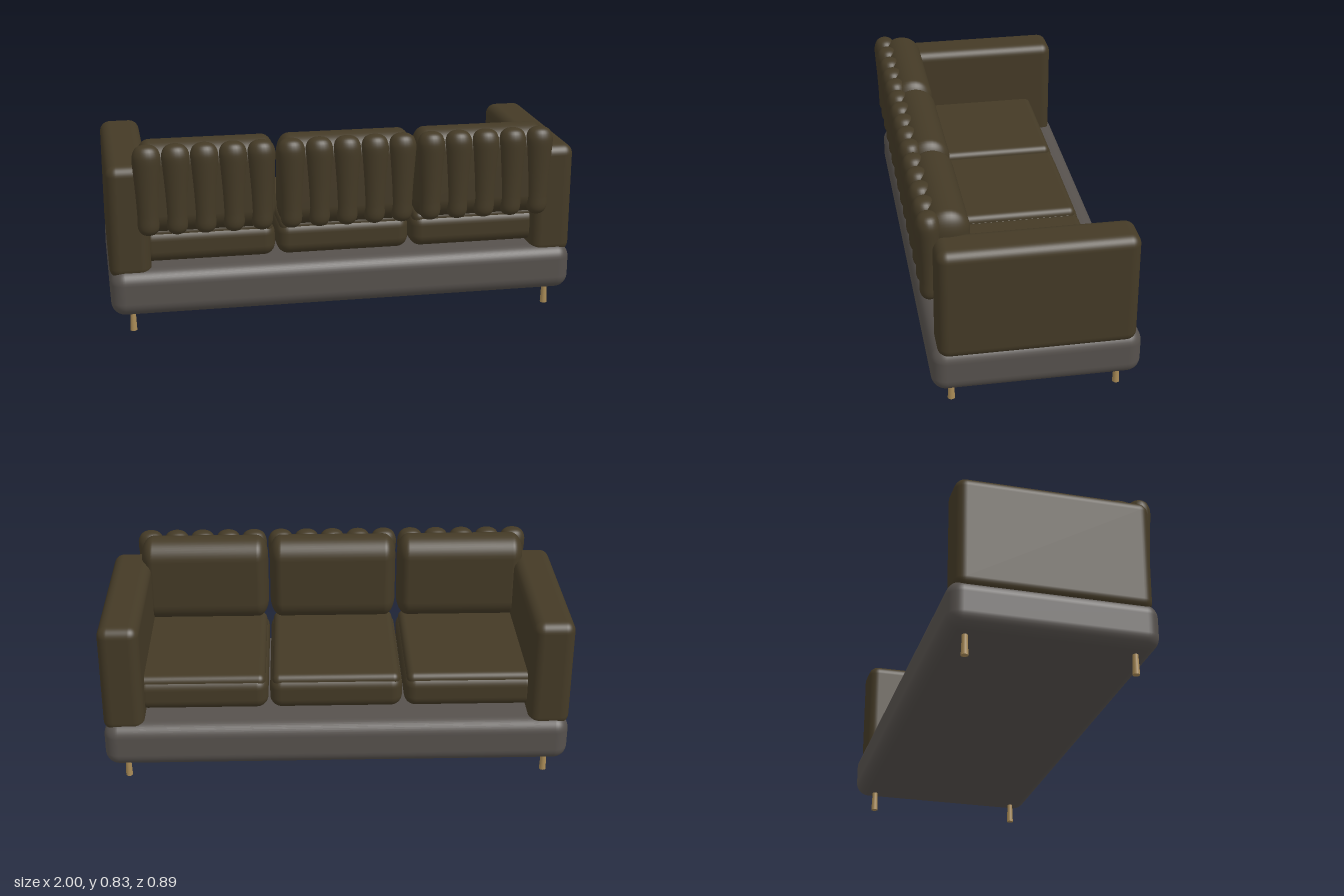
import * as THREE from 'three';
import { RoundedBoxGeometry } from 'three/addons/geometries/RoundedBoxGeometry.js';

const mat = (name, color) => {
  const m = new THREE.MeshStandardMaterial({ color });
  m.name = name;
  return m;
};

// Rounded box given by its limits; sx narrows the rounding along x
function softBox([x0, x1], [y0, y1], [z0, z1], radius, sx = 1) {
  const g = new RoundedBoxGeometry((x1 - x0) / sx, y1 - y0, z1 - z0, 5, radius);
  g.scale(sx, 1, 1);
  g.translate((x0 + x1) / 2, (y0 + y1) / 2, (z0 + z1) / 2);
  return g;
}

export function createModel() {
  const root = new THREE.Group();
  root.name = 'sofa';
  const upholstery = mat('olive brown upholstery', 0x443a26);
  const baseGrey = mat('grey base', 0x56514d);
  const wood = mat('light wood', 0xa88a56);

  const add = (name, geometry, material, parent = root) => {
    const mesh = new THREE.Mesh(geometry, material);
    mesh.name = name;
    parent.add(mesh);
    return mesh;
  };

  // Plinth
  add('base', softBox([-1, 1], [0.086, 0.287], [-0.445, 0.41], 0.06), baseGrey);

  // Arms and tapered legs, mirrored
  const legShape = new THREE.CylinderGeometry(0.011, 0.015, 0.1, 16);
  for (const side of [-1, 1]) {
    const xs = side < 0 ? [-1, -0.825] : [0.825, 1];
    add(side < 0 ? 'rightArm' : 'leftArm', softBox(xs, [0.247, 0.738], [-0.42, 0.384], 0.045), upholstery);
    for (const z of [-0.36, 0.325]) {
      add('leg', legShape, wood).position.set(side * 0.91, 0.05, z);
    }
  }

  // Channel roll on the back: wide at the top, slimmer below
  const profile = [
    [0, 0.445], [0.022, 0.449], [0.038, 0.463], [0.045, 0.485], [0.045, 0.53], [0.049, 0.62],
    [0.056, 0.72], [0.059, 0.77], [0.056, 0.795], [0.045, 0.817], [0.026, 0.829], [0, 0.833],
  ].map(([r, y]) => new THREE.Vector2(r, y));
  const channelShape = new THREE.LatheGeometry(new THREE.SplineCurve(profile).getPoints(30), 24);
  channelShape.scale(1, 1, 0.85);

  for (let i = -1; i <= 1; i++) {
    const x = i * 0.58;
    const section = new THREE.Group();
    section.name = 'sofaSection';
    root.add(section);

    // Seat cushion with a slightly inset top panel
    add('seatCushion', softBox([x - 0.286, x + 0.286], [0.297, 0.444], [-0.33, 0.34], 0.05), upholstery, section);
    add('seatTopPanel', softBox([x - 0.275, x + 0.275], [0.39, 0.456], [-0.318, 0.33], 0.03), upholstery, section);

    // Back cushion
    const bx = i * 0.583;
    add('backCushion', softBox([bx - 0.288, bx + 0.288], [0.44, 0.834], [0.228, 0.41], 0.09, 0.6), upholstery, section);

    // Five channel rolls behind each cushion
    for (let k = -2; k <= 2; k++) {
      add('backChannel', channelShape, upholstery, section).position.set(i * 0.596 + k * 0.118, 0, 0.395);
    }
  }
  return root;
}
